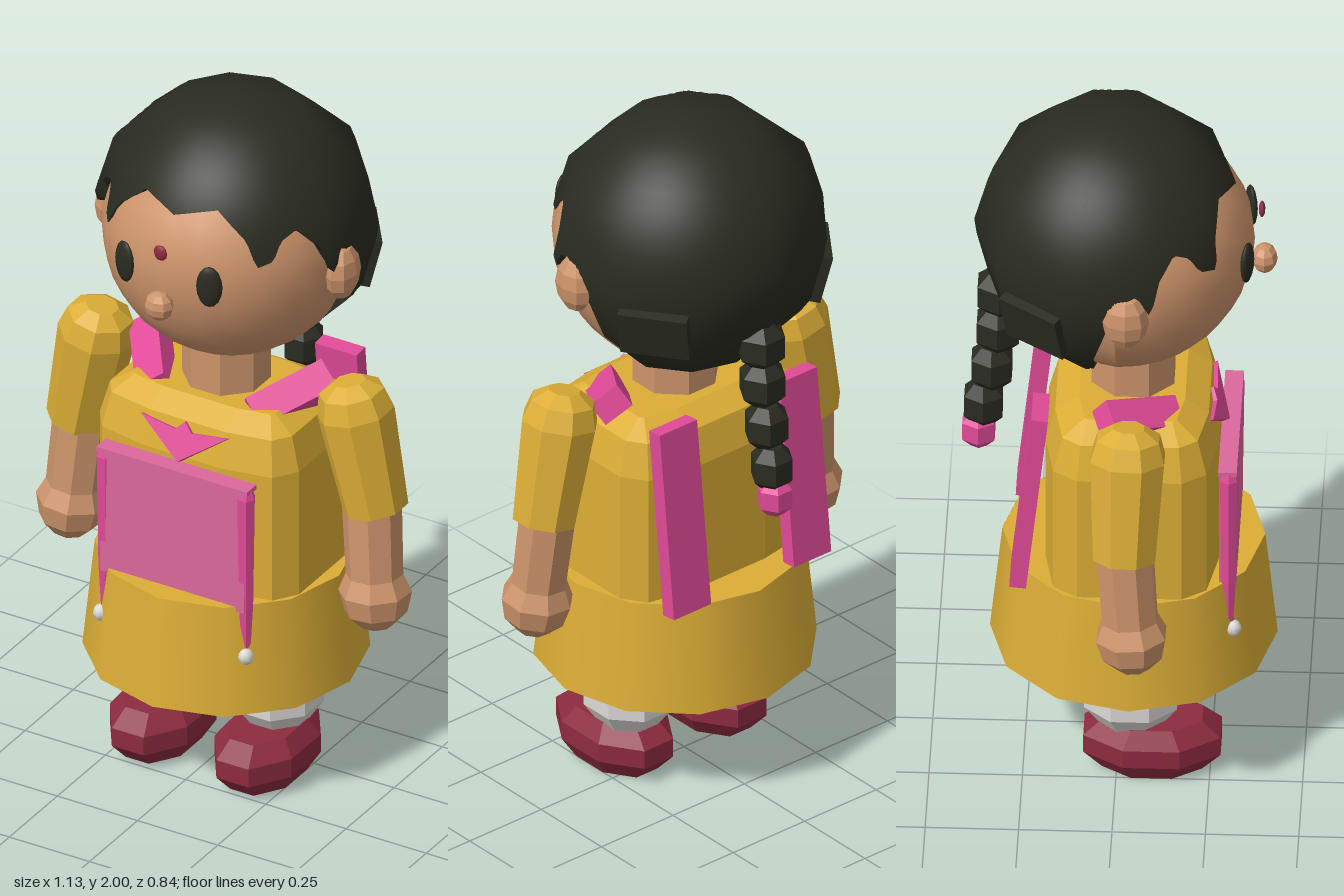
import * as THREE from 'three';

const mat = (name, color, side = THREE.FrontSide) => {
  const m = new THREE.MeshStandardMaterial({ color, side });
  m.name = name;
  return m;
};
const rad = THREE.MathUtils.degToRad;

export function createModel() {
  const model = new THREE.Group();
  model.name = 'doll';
  const hair = mat('hair black', 0x2a2b20, THREE.DoubleSide);
  const skin = mat('skin', 0xcd946b);
  const yellow = mat('dress yellow', 0xdcae36, THREE.DoubleSide);
  const pink = mat('scarf pink', 0xe04a97);
  const panel = mat('panel pink', 0xdc689c);
  const white = mat('trouser white', 0xdcdad6);
  const red = mat('shoe red', 0x8d2b3f);

  const add = (name, geo, material, x = 0, y = 0, z = 0) => {
    const mesh = new THREE.Mesh(geo, material);
    mesh.name = name;
    mesh.position.set(x, y, z);
    model.add(mesh);
    return mesh;
  };
  const facet = (geo) => {
    const g = geo.index ? geo.toNonIndexed() : geo;
    g.computeVertexNormals();
    return g;
  };
  // faceted turned shape, profile listed from bottom to top
  const turned = (pts, sides, sx = 1, sz = 1) => facet(new THREE.LatheGeometry(
    pts.map(([r, y]) => new THREE.Vector2(r, y)), sides, Math.PI / sides).scale(sx, 1, sz));
  const ball = (rx, ry, rz, w = 12, h = 8) => new THREE.SphereGeometry(1, w, h).scale(rx, ry, rz);
  // bar running from a to b, with its length on local y
  const bar = (name, a, b, w, t, material) => {
    const A = new THREE.Vector3(...a), B = new THREE.Vector3(...b);
    const d = B.clone().sub(A);
    const m = add(name, new THREE.BoxGeometry(w, d.length(), t), material);
    m.position.copy(A).add(B).multiplyScalar(0.5);
    m.quaternion.setFromUnitVectors(new THREE.Vector3(0, 1, 0), d.normalize());
  };

  // Head: fuller jaw, flat chin, back drawn in under the hair
  const headGeo = new THREE.SphereGeometry(1, 24, 18);
  const hp = headGeo.attributes.position;
  for (let i = 0; i < hp.count; i++) {
    const y = hp.getY(i), z = hp.getZ(i) * 0.362;
    const k = 1 - 0.12 * THREE.MathUtils.clamp(-z / 0.12, 0, 1);
    hp.setXYZ(i, hp.getX(i) * 0.35 * k, Math.max(y * (y > 0 ? 0.32 : 0.36), -0.33), z * k);
  }
  headGeo.computeVertexNormals();
  add('head', headGeo, skin, 0, 1.61, 0);

  // Neck and face
  add('neck', turned([[0.12, 1.1], [0.12, 1.32]], 8), skin, 0, 0, 0.037);
  add('nose', facet(ball(0.042, 0.042, 0.035, 8, 6)), skin, 0, 1.545, 0.388);
  add('foreheadDot', ball(0.021, 0.023, 0.009, 10, 6), red, 0, 1.705, 0.381);
  for (const s of [-1, 1]) {
    const eye = add('eye', ball(0.036, 0.062, 0.014, 14, 8), hair, s * 0.132, 1.622, 0.347);
    eye.rotation.y = s * 0.35;
    add('ear', facet(ball(0.045, 0.082, 0.063, 8, 6)), skin, s * 0.357, 1.58, 0.03);
  }

  // Hair cap: ten-sided dome cut along a jagged hairline (degrees from front, height)
  const line = [[0, 1.79], [20, 1.815], [32, 1.75], [35, 1.72], [37, 1.67], [45, 1.68], [49, 1.73],
    [57, 1.755], [66, 1.7], [72, 1.61], [77, 1.67], [86, 1.64], [91, 1.52], [97, 1.42],
    [100, 1.35], [105, 1.247], [180, 1.247]];
  const hairline = (deg) => {
    const i = Math.max(1, line.findIndex(([a]) => a >= deg));
    const [a0, y0] = line[i - 1], [a1, y1] = line[i];
    return y0 + (y1 - y0) * (deg - a0) / (a1 - a0);
  };
  const corner = (i, j) => new THREE.Vector3(
    0.395 * Math.sin(rad(i * 30)) * Math.sin(rad(j * 36)),
    Math.max((i < 3 ? 0.36 : 0.4) * Math.cos(rad(i * 30)), -0.365),
    0.372 * Math.sin(rad(i * 30)) * Math.cos(rad(j * 36)));
  const dome = (phi, a) => {
    const u = phi / 30, v = a / 36, i = Math.floor(u), j = Math.floor(v);
    return corner(i, j).lerp(corner(i, j + 1), v - j)
      .lerp(corner(i + 1, j).lerp(corner(i + 1, j + 1), v - j), u - i);
  };
  const pos = [], nor = [], idx = [], cols = 180, rows = 24;
  for (let r = 0; r <= rows; r++) {
    for (let c = 0; c <= cols; c++) {
      const a = c * 360 / cols;
      const h = hairline(Math.min(a, 360 - a)) - 1.64;
      const end = THREE.MathUtils.radToDeg(Math.acos(h / (h > 0 ? 0.36 : 0.4)));
      const p = dome(end * Math.min(1, r / (rows - 1)), a);
      const n = p.clone().normalize();
      if (r === rows) p.multiplyScalar(0.93); // edge turned in to the head
      pos.push(p.x, p.y, p.z);
      nor.push(n.x, n.y, n.z);
      if (r < rows && c < cols) {
        const k = r * (cols + 1) + c, d = k + cols + 1;
        idx.push(k, d, k + 1, k + 1, d, d + 1);
      }
    }
  }
  const cap = new THREE.BufferGeometry();
  cap.setAttribute('position', new THREE.Float32BufferAttribute(pos, 3));
  cap.setAttribute('normal', new THREE.Float32BufferAttribute(nor, 3));
  cap.setIndex(idx);
  add('hairCap', cap, hair, 0, 1.64, -0.02);
  for (const s of [-1, 1]) {
    const lock = add('sideLock', new THREE.BoxGeometry(0.19, 0.14, 0.04), hair, s * 0.283, 1.51, -0.215);
    lock.rotation.set(0.25, Math.atan2(s * 0.81, -0.59), 0, 'YXZ');
  }

  // Braid with its tie
  const bead = (r, h) => turned([[0, -h], [r * 0.5, -h], [r, -h * 0.5], [r, h * 0.5], [r * 0.5, h], [0, h]], 6);
  [[1.415, -0.32], [1.295, -0.325], [1.17, -0.342], [1.05, -0.364]].forEach(([y, z], i) =>
    add('braidKnot', bead(0.068 - i * 0.003, 0.064), hair, 0, y, z));
  add('braidTie', bead(0.05, 0.053), pink, 0, 0.965, -0.377);

  // Bodice with bevelled shoulders
  const quarter = [[0.31, 0.14], [0.265, 0.205], [0.12, 0.232]];
  const outline = [...quarter, ...quarter.map(([x, z]) => [-x, z]).reverse(),
    ...quarter.map(([x, z]) => [-x, -z]), ...quarter.map(([x, z]) => [x, -z]).reverse()];
  const bodice = new THREE.ExtrudeGeometry(new THREE.Shape(outline.map(([x, z]) => new THREE.Vector2(x, z))),
    { depth: 0.44, bevelSize: 0.09, bevelOffset: -0.09, bevelThickness: 0.14, bevelSegments: 2 });
  add('bodice', bodice.rotateX(-Math.PI / 2), yellow, 0, 0.575, 0.038);

  // Flared skirt, open below
  add('skirt', new THREE.CylinderGeometry(0.352, 0.385, 0.32, 12, 1, true), yellow, 0, 0.475, 0.038);
  add('skirtTop', new THREE.CircleGeometry(0.352, 12, Math.PI / 2).rotateX(-Math.PI / 2), yellow, 0, 0.634, 0.038);

  // Apron panel, its border and hanging cords
  add('apronPanel', new THREE.BoxGeometry(0.45, 0.37, 0.046), panel, 0, 0.805, 0.298);
  add('apronTopBorder', new THREE.BoxGeometry(0.47, 0.014, 0.05), panel, 0, 0.994, 0.298);
  for (const s of [-1, 1]) {
    add('apronCord', turned([[0.013, 0.49], [0.022, 0.64], [0.027, 0.97], [0.016, 1.0]], 6), pink, s * 0.219, 0, 0.301);
    add('cordBead', ball(0.022, 0.024, 0.022, 8, 6), white, s * 0.226, 0.485, 0.314);
  }

  // Scarf: chest bow, shoulder straps and back tails
  const bowShape = new THREE.Shape([[-0.135, 1.1], [0, 1.0], [0.135, 1.1], [0.025, 1.085], [0, 1.112], [-0.025, 1.085]]
    .map(([x, y]) => new THREE.Vector2(x, y - 1)));
  const bow = add('chestBow', new THREE.ExtrudeGeometry(bowShape, { depth: 0.03, bevelEnabled: false }), pink, 0, 1.0, 0.268);
  bow.rotation.x = -0.4;
  for (const s of [-1, 1]) {
    bar('shoulderStrap', [s * 0.15, 1.125, 0.15], [s * 0.28, 1.195, -0.03], 0.09, 0.07, pink);
    bar('scarfTail', [s * 0.21, 0.635, -0.262], [s * 0.21, 1.185, -0.203], 0.13, 0.045, pink);
  }

  // Arms: sloping sleeve, then a steeper forearm with a rounded fist
  const sleeve = [[0, -0.38], [0.09, -0.38], [0.107, -0.09], [0.09, -0.03], [0.045, 0], [0, 0]];
  const forearm = [[0, -0.36], [0.045, -0.36], [0.085, -0.32], [0.1, -0.26], [0.078, -0.21], [0.082, 0.03], [0, 0.03]];
  for (const s of [-1, 1]) {
    for (const [name, pts, m, a, b] of [
      ['sleeve', sleeve, yellow, [0.385, 1.252, 0.04], [0.462, 0.88, 0.032]],
      ['forearm', forearm, skin, [0.45, 0.89, 0.032], [0.48, 0.53, 0.058]]]) {
      const arm = add(name, turned(pts, 8), m, s * a[0], a[1], a[2]);
      arm.quaternion.setFromUnitVectors(new THREE.Vector3(0, 1, 0),
        new THREE.Vector3(s * (a[0] - b[0]), a[1] - b[1], a[2] - b[2]).normalize());
    }
  }

  // Legs and shoes
  for (const s of [-1, 1]) {
    add('trouserLeg', turned([[0.08, 0.14], [0.12, 0.2], [0.12, 0.58], [0, 0.58]], 8, 1, 1.12), white, s * 0.165, 0, 0.038);
    add('shoe', turned([[0, 0], [0.095, 0], [0.13, 0.055], [0.13, 0.11], [0.095, 0.155], [0, 0.155]], 8, 1, 1.53),
      red, s * 0.163, 0, 0.095);
  }
  return model;
}
